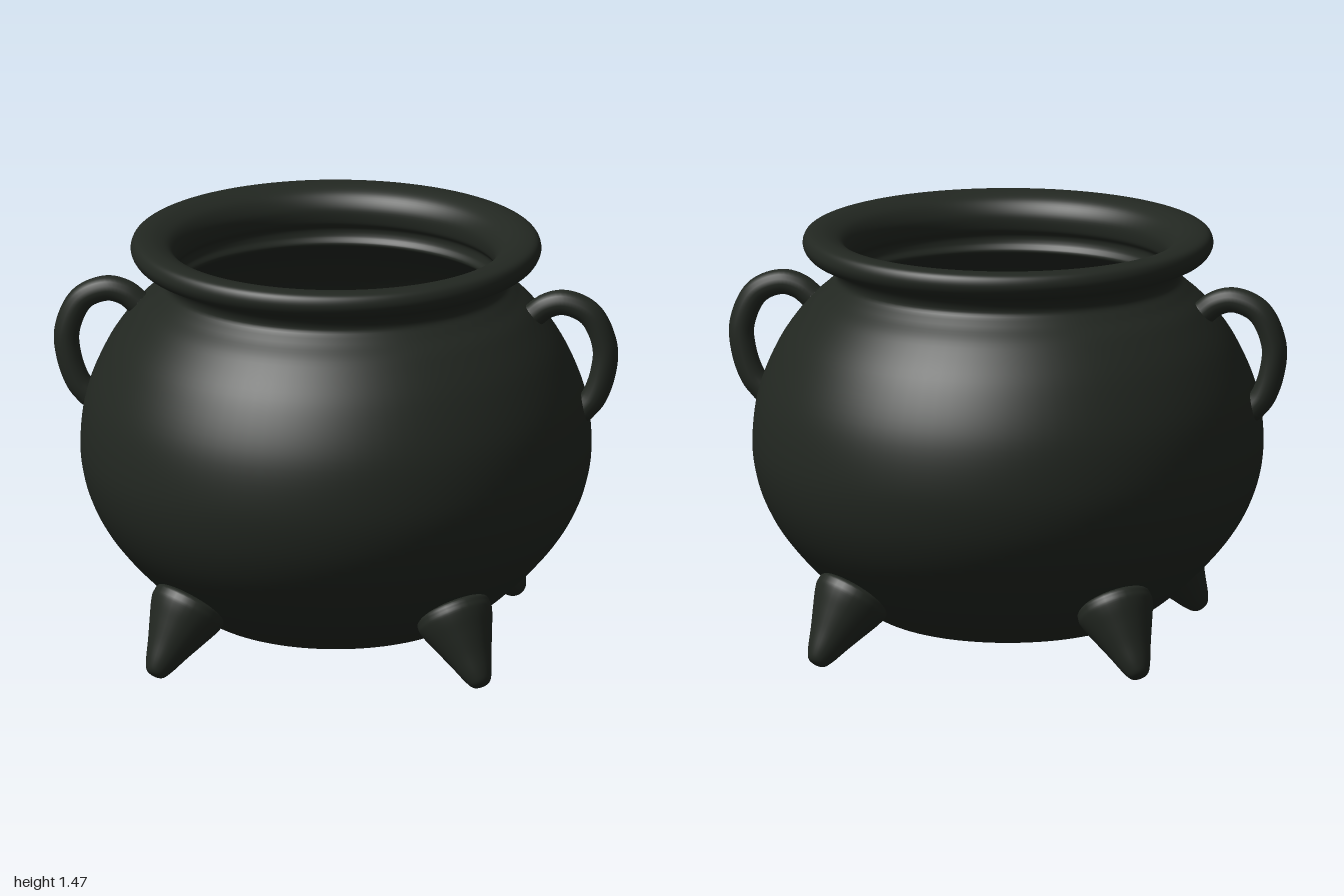
import * as THREE from 'three';

const iron = new THREE.MeshStandardMaterial({ color: 0x222721 });

const toVectors = (pts) => pts.map(([x, y]) => new THREE.Vector2(x, y));

// Smooth lathe through a few profile points
function smoothLathe(pts, samples, segments) {
  const profile = new THREE.SplineCurve(toVectors(pts)).getPoints(samples);
  profile.forEach((p) => { p.x = Math.max(p.x, 0); });
  return new THREE.LatheGeometry(profile, segments);
}

function addMesh(parent, name, geometry) {
  const mesh = new THREE.Mesh(geometry, iron);
  mesh.name = name;
  parent.add(mesh);
  return mesh;
}

export function createModel() {
  const cauldron = new THREE.Group();
  cauldron.name = 'cauldron';

  // Outside of the pot: flat underside, round belly and narrow neck
  const outside = [
    [0, 0.055], [0.15, 0.055], [0.29, 0.056], [0.42, 0.08], [0.52, 0.13],
    [0.62, 0.207], [0.74, 0.328], [0.825, 0.445], [0.88, 0.575], [0.9, 0.72],
    [0.877, 0.9], [0.803, 1.075], [0.71, 1.203], [0.64, 1.268], [0.605, 1.31],
  ];
  // Flared lip, rolled over into the mouth
  const lip = [
    [0.63, 1.358], [0.695, 1.383], [0.722, 1.42], [0.716, 1.455], [0.69, 1.47],
    [0.64, 1.468], [0.59, 1.445], [0.563, 1.4], [0.565, 1.35],
  ];
  // Hollow inside, with a shallow groove under the lip
  const inside = [
    [0.582, 1.322], [0.58, 1.295], [0.567, 1.268], [0.6, 1.238], [0.68, 1.17],
    [0.765, 1.055], [0.837, 0.89], [0.86, 0.72], [0.841, 0.588], [0.788, 0.463],
    [0.71, 0.356], [0.595, 0.24], [0.5, 0.168], [0.405, 0.118], [0.28, 0.096],
    [0.14, 0.095], [0, 0.095],
  ];
  addMesh(cauldron, 'pot', smoothLathe([...outside, ...lip, ...inside], 240, 96));

  // Two looped handles with rounded ends
  const tubeRadius = 0.045;
  for (const side of [1, -1]) {
    const handle = new THREE.Group();
    handle.name = side > 0 ? 'leftHandle' : 'rightHandle';
    const path = new THREE.CatmullRomCurve3([
      [0.7, 1.205], [0.745, 1.24], [0.81, 1.255], [0.9, 1.215],
      [0.952, 1.1], [0.945, 1.0], [0.912, 0.91], [0.875, 0.865],
    ].map(([x, y]) => new THREE.Vector3(side * x, y, 0)));
    addMesh(handle, 'handleLoop', new THREE.TubeGeometry(path, 48, tubeRadius, 16));
    for (const t of [0, 1]) {
      addMesh(handle, 'handleEnd', new THREE.SphereGeometry(tubeRadius, 16, 12))
        .position.copy(path.getPoint(t));
    }
    cauldron.add(handle);
  }

  // Four stubby legs, splayed outward on the diagonals
  const legGeometry = smoothLathe([
    [0, -0.05], [0.03, -0.042], [0.05, -0.01], [0.077, 0.06], [0.106, 0.13],
    [0.13, 0.19], [0.136, 0.225], [0.118, 0.255], [0, 0.27],
  ], 40, 32);
  const up = new THREE.Vector3(0, 1, 0);
  for (const sx of [1, -1]) {
    for (const sz of [1, -1]) {
      const name = (sz > 0 ? 'front' : 'back') + (sx > 0 ? 'Left' : 'Right') + 'Leg';
      const leg = addMesh(cauldron, name, legGeometry);
      leg.position.set(sx * 0.562, 0.05, sz * 0.562);
      const axis = new THREE.Vector3(-sx * 0.5, 1, -sz * 0.5).normalize();
      leg.quaternion.setFromUnitVectors(up, axis);
    }
  }

  return cauldron;
}
